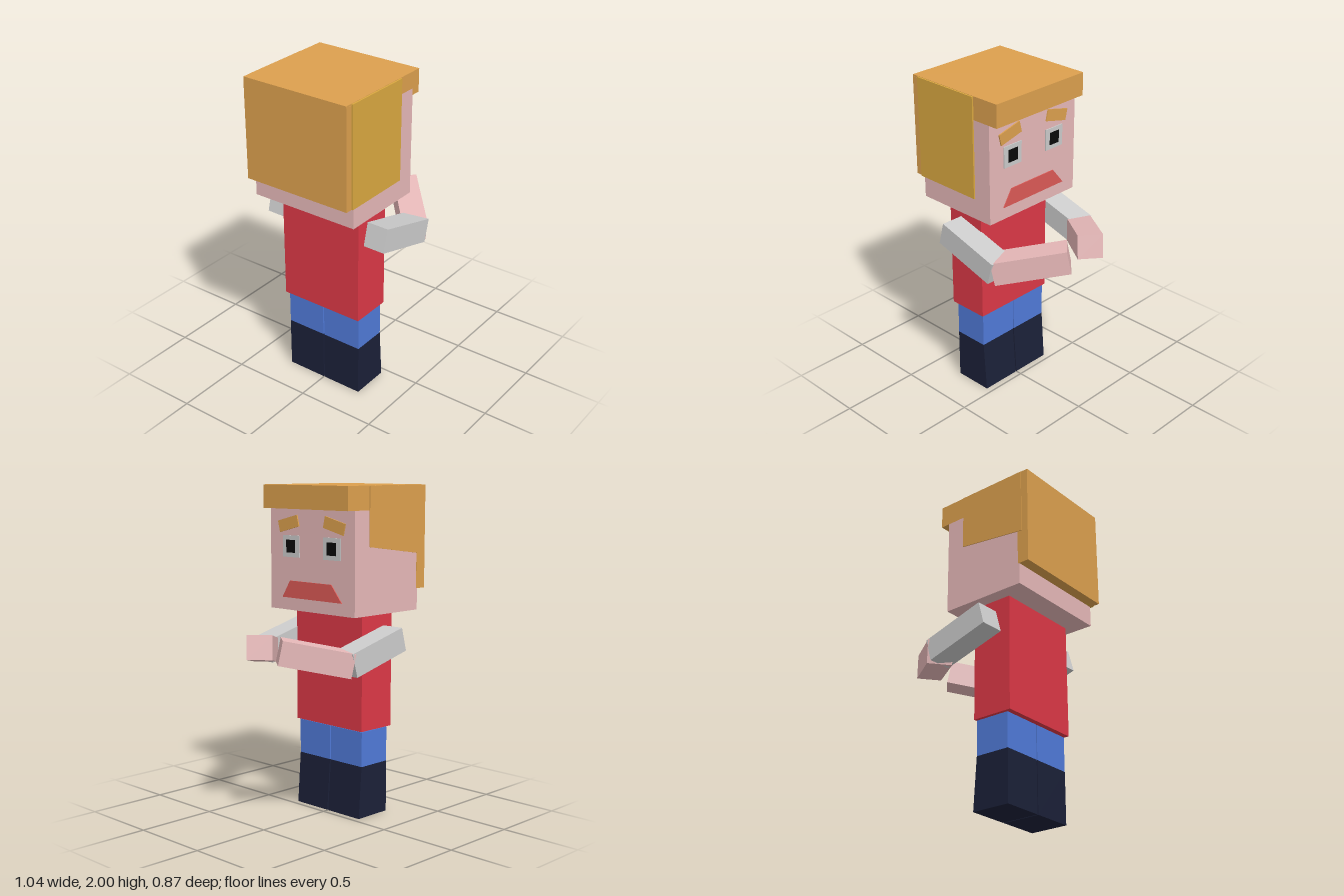
import * as THREE from 'three';

const mat = (color) => new THREE.MeshStandardMaterial({ color, flatShading: true });

export function createModel() {
  const model = new THREE.Group();
  const skin = mat(0xe6b8b8), hair = mat(0xdca04e), sideHairMat = mat(0xdaa840);
  const red = mat(0xdc3846), blue = mat(0x507ad8), navy = mat(0x1b2038);
  const grey = mat(0xcccccc), black = mat(0x0a0a0a), lip = mat(0xdc5a56);

  const add = (name, geometry, material) => {
    const mesh = new THREE.Mesh(geometry, material);
    mesh.name = name;
    model.add(mesh);
    return mesh;
  };
  // Box given by its minimum and maximum corners
  const box = (name, material, [x0, y0, z0], [x1, y1, z1]) => {
    const mesh = add(name, new THREE.BoxGeometry(x1 - x0, y1 - y0, z1 - z0), material);
    mesh.position.set((x0 + x1) / 2, (y0 + y1) / 2, (z0 + z1) / 2);
    return mesh;
  };
  // Square limb running between two points
  const limb = (name, material, from, to) => {
    const a = new THREE.Vector3(...from), b = new THREE.Vector3(...to);
    const mesh = add(name, new THREE.BoxGeometry(0.15, 0.145, a.distanceTo(b)), material);
    mesh.position.copy(a).lerp(b, 0.5);
    mesh.lookAt(b);
    return mesh;
  };
  const plate = (points, depth) => new THREE.ExtrudeGeometry(
    new THREE.Shape(points.map(([x, y]) => new THREE.Vector2(x, y))),
    { depth, bevelEnabled: false });

  // Body and head (the figure faces +x)
  box('torso', red, [-0.31, 0.54, -0.27], [-0.05, 1.25, 0.28]);
  box('head', skin, [-0.45, 1.25, -0.35], [0.1, 1.9, 0.35]);

  // Hair: cap with fringe, back, full side and shorter slanted side
  box('hairCap', hair, [-0.515, 1.86, -0.35], [0.16, 2, 0.35]);
  box('hairBack', hair, [-0.515, 1.38, -0.351], [-0.44, 1.99, 0.351]);
  box('hairSideRight', sideHairMat, [-0.47, 1.38, 0.3], [-0.02, 1.998, 0.36]);
  add('hairSideLeft', plate(
    [[-0.47, 1.59], [-0.02, 1.65], [-0.02, 1.998], [-0.47, 1.998]], 0.05), hair)
    .position.z = -0.355;

  // Eyes and eyebrows
  for (const s of [1, -1]) {
    const z = s * 0.17;
    box('eye', grey, [0.09, 1.57, z - 0.07], [0.106, 1.7, z + 0.07]);
    box('pupil', black, [0.1, 1.597, z - 0.037], [0.109, 1.673, z + 0.037]);
    const brow = box('eyebrow', hair, [0.09, 1.735, s * 0.19 - 0.083], [0.108, 1.805, s * 0.19 + 0.083]);
    brow.rotation.x = s * 0.24;
  }

  // Mouth
  const mouth = add('mouth', plate(
    [[-0.245, 1.325], [0.25, 1.325], [0.165, 1.428], [-0.18, 1.428]], 0.015), lip);
  mouth.rotation.y = Math.PI / 2;
  mouth.position.x = 0.091;

  // Legs and boots; the boot toe slopes forward at the ground
  for (const [z0, z1] of [[0.006, 0.265], [-0.26, -0.002]]) {
    box('leg', blue, [-0.285, 0.32, z0], [-0.063, 0.534, z1]);
    add('boot', plate(
      [[-0.286, 0], [-0.04, 0], [-0.063, 0.32], [-0.286, 0.32]], z1 - z0), navy)
      .position.z = z0;
  }

  // Arms: sleeve, then forearm bent inwards to the front
  limb('rightSleeve', grey, [-0.24, 1.1, 0.347], [0.173, 0.99, 0.355]);
  limb('rightForearm', skin, [0.133, 0.987, 0.365], [0.455, 1.072, 0.071]);
  limb('leftSleeve', grey, [-0.238, 1.1, -0.36], [0.173, 0.99, -0.35]);
  limb('leftForearm', skin, [0.137, 0.987, -0.365], [0.463, 1.072, -0.105]);

  return model;
}
